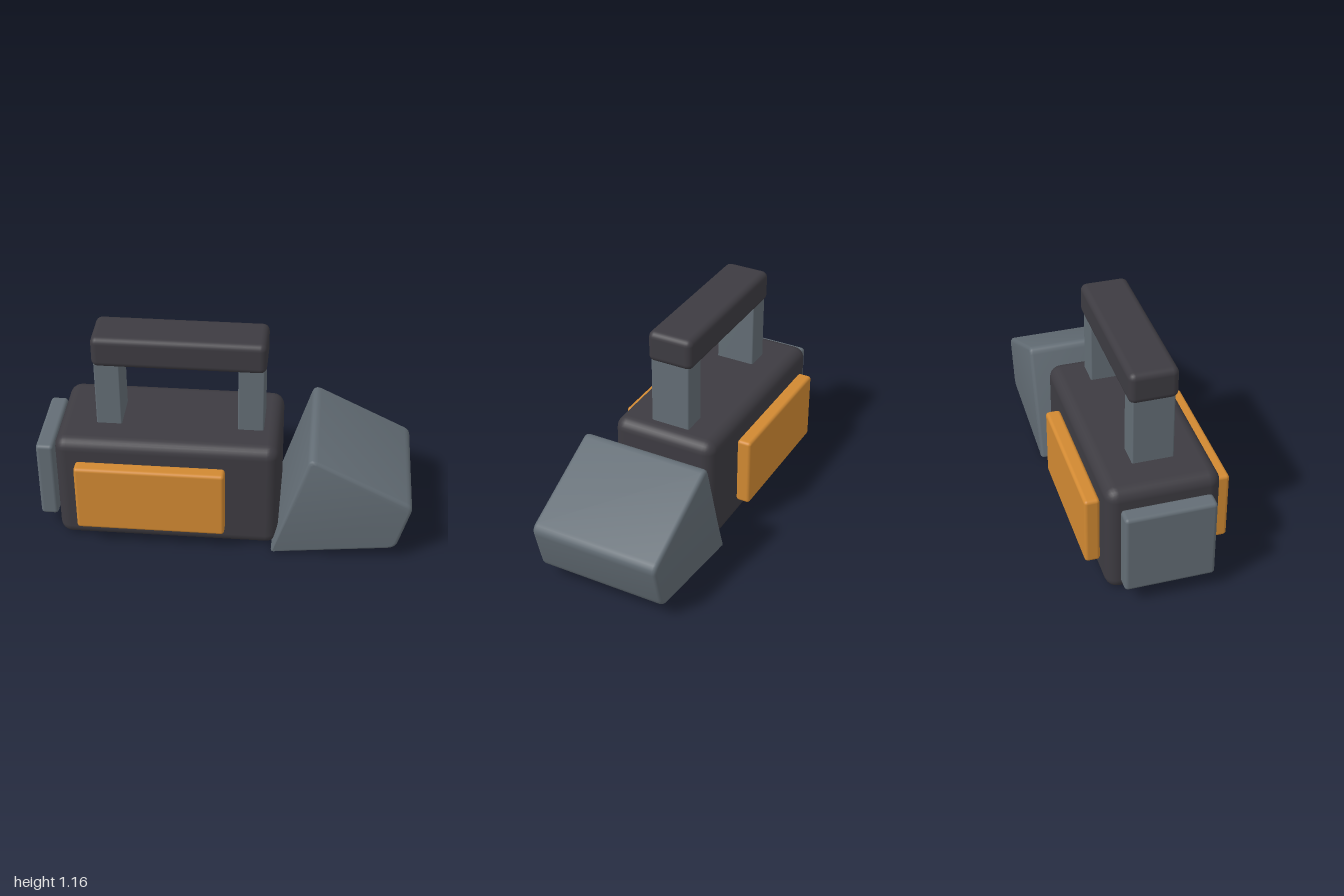
import * as THREE from 'three';
import { RoundedBoxGeometry } from 'three/addons/geometries/RoundedBoxGeometry.js';
import { toCreasedNormals } from 'three/addons/utils/BufferGeometryUtils.js';

export function createModel() {
  const model = new THREE.Group();
  model.name = 'handheldTool';

  const material = (name, color) => {
    const m = new THREE.MeshStandardMaterial({ color });
    m.name = name;
    return m;
  };
  const charcoal = material('charcoal', 0x3d3b41);
  const steel = material('steelGrey', 0x636d75);
  const orange = material('orange', 0xd18932);

  // Rounded box given by its minimum and maximum corners
  const box = (name, mat, min, max, radius) => {
    const [w, h, d] = max.map((v, i) => v - min[i]);
    const mesh = new THREE.Mesh(new RoundedBoxGeometry(w, h, d, 3, radius), mat);
    mesh.position.set(...max.map((v, i) => (v + min[i]) / 2));
    mesh.name = name;
    model.add(mesh);
  };

  // Housing and rear plate
  box('body', charcoal, [-0.89, 0, -0.295], [0.295, 0.632, 0.295], 0.065);
  box('rearPlate', steel, [-1, 0.092, -0.236], [-0.906, 0.548, 0.236], 0.02);

  // Side panels
  for (const [name, z] of [['leftPanel', 0.298], ['rightPanel', -0.378]]) {
    box(name, orange, [-0.775, 0.125, z], [0.015, 0.515, z + 0.08], 0.018);
  }

  // Carrying handle on two posts
  box('rearPost', steel, [-0.685, 0.58, -0.109], [-0.55, 1.03, 0.109], 0.008);
  box('frontPost', steel, [0.066, 0.58, -0.109], [0.203, 1.03, 0.109], 0.008);
  box('handleGrip', charcoal, [-0.695, 0.988, -0.127], [0.213, 1.16, 0.127], 0.035);

  // Wedge-shaped nose: a quadrilateral with rounded corners, extruded across z
  const corners = [[0.26, 0.002, 0.02], [0.928, 0.078, 0.045], [1.006, 0.362, 0.045], [0.456, 0.637, 0.045]]
    .map(([x, y, r]) => ({ p: new THREE.Vector2(x, y), r }));
  const outline = new THREE.Shape();
  corners.forEach(({ p, r }, i) => {
    const toward = (q) => q.clone().sub(p).setLength(r).add(p);
    const start = toward(corners[(i + 3) % 4].p);
    const end = toward(corners[(i + 1) % 4].p);
    if (i === 0) outline.moveTo(start.x, start.y);
    else outline.lineTo(start.x, start.y);
    outline.quadraticCurveTo(p.x, p.y, end.x, end.y);
  });
  outline.closePath();
  const bevel = 0.02;
  const halfWidth = 0.355;
  const noseGeometry = new THREE.ExtrudeGeometry(outline, {
    depth: 2 * (halfWidth - bevel),
    curveSegments: 5,
    bevelSize: bevel,
    bevelThickness: bevel,
    bevelOffset: -bevel,
    bevelSegments: 3,
  });
  noseGeometry.translate(0, 0, bevel - halfWidth);
  const nose = new THREE.Mesh(toCreasedNormals(noseGeometry, 0.7), steel);
  nose.name = 'wedgeNose';
  model.add(nose);

  return model;
}
